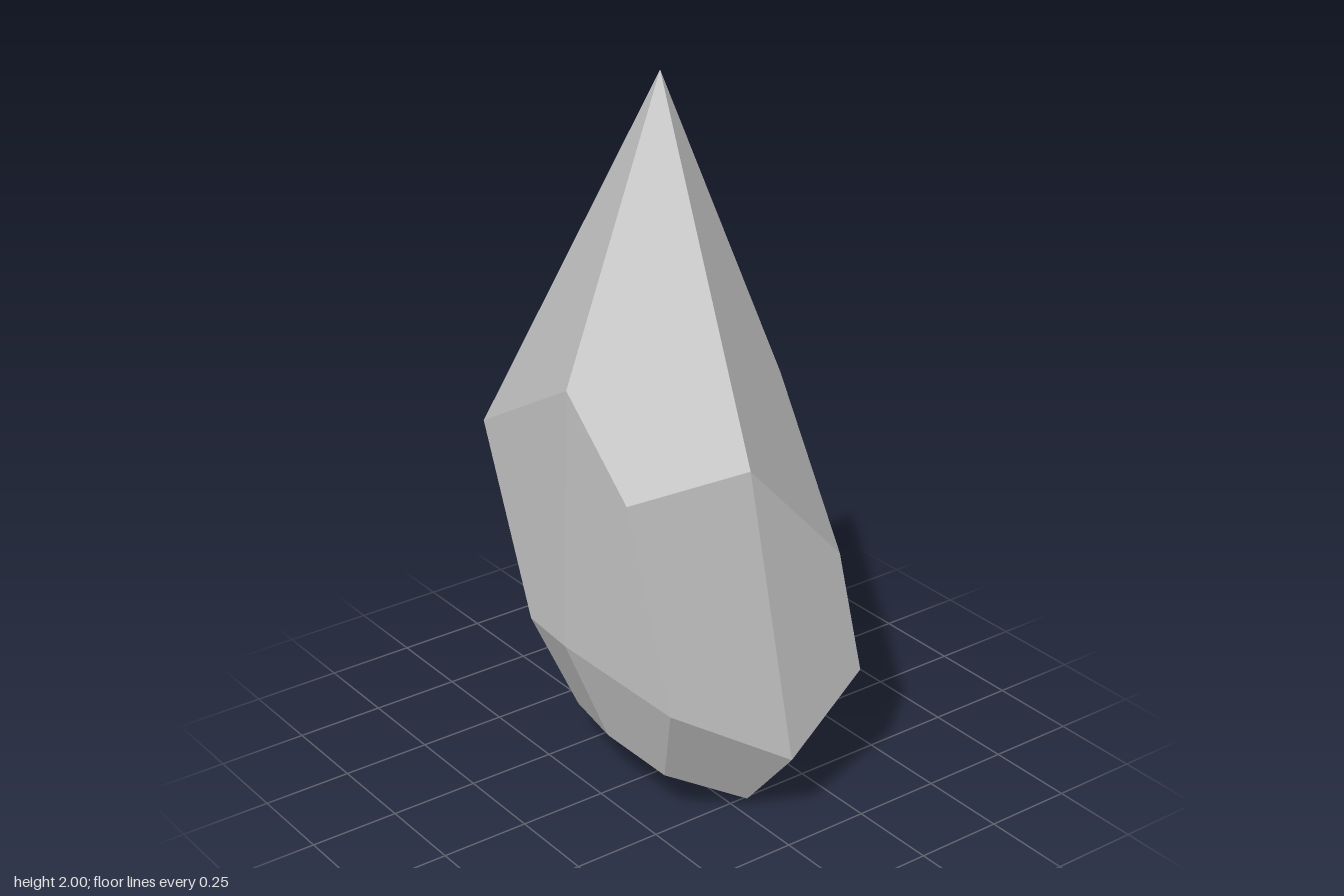
import * as THREE from 'three';

// Cross-sections of eight corners, from the front centre round by +x to the back and on by -x.
const shoulder = [
  [0, 1.22, 0.34], [0.318, 1.035, 0.385], [0.4, 1.07, 0.065], [0.43, 0.77, -0.208],
  [0, 1.09, -0.352], [-0.43, 0.77, -0.208], [-0.4, 1.07, 0.065], [-0.318, 1.035, 0.385],
];
const waist = [
  [-0.02, 0.48, 0.345], [0.315, 0.39, 0.25], [0.445, 0.215, -0.05], [0.38, 0.36, -0.335],
  [0, 0.59, -0.385], [-0.378, 0.36, -0.335], [-0.448, 0.215, -0.05], [-0.323, 0.4, 0.25],
];
const base = [
  [-0.03, 0.152, 0.203], [0.215, 0.145, 0.195], [0.285, 0.022, -0.03], [0.26, 0.175, -0.27],
  [0, 0.25, -0.335], [-0.262, 0.175, -0.27], [-0.3, 0.027, -0.035], [-0.247, 0.13, 0.15],
];
const tip = [0, 2, 0.045];
const foot = [-0.01, 0, -0.05];

// Builds the crystal from four-sided facets, each shaded evenly.
function facetedGeometry(rings) {
  const positions = [];
  const normals = [];
  // Corners run anticlockwise seen from outside; the facet folds along a-c.
  const facet = (a, b, c, d) => {
    const [pa, pb, pc, pd] = [a, b, c, d].map((p) => new THREE.Vector3(...p));
    const normal = pc.sub(pa).cross(pd.sub(pb)).normalize();
    for (const p of [a, b, c, a, c, d]) {
      positions.push(...p);
      normals.push(...normal.toArray());
    }
  };
  const first = rings[0];
  const last = rings[rings.length - 1];
  // Sides
  for (let r = 0; r < rings.length - 1; r++) {
    for (let i = 0; i < 8; i++) {
      const j = (i + 1) % 8;
      facet(rings[r][j], rings[r + 1][j], rings[r + 1][i], rings[r][i]);
    }
  }
  // Four facets up to the tip, folded alternately, and four down to the foot
  for (let i = 0; i < 8; i += 2) {
    const k = (i + 2) % 8;
    if (i % 4 === 0) facet(last[i], last[i + 1], last[k], tip);
    else facet(last[i + 1], last[k], tip, last[i]);
    facet(foot, first[k], first[i + 1], first[i]);
  }
  const geometry = new THREE.BufferGeometry();
  geometry.setAttribute('position', new THREE.Float32BufferAttribute(positions, 3));
  geometry.setAttribute('normal', new THREE.Float32BufferAttribute(normals, 3));
  return geometry;
}

export function createModel() {
  const group = new THREE.Group();
  group.name = 'crystal';
  // Pointed crystal body
  const body = new THREE.Mesh(
    facetedGeometry([base, waist, shoulder]),
    new THREE.MeshStandardMaterial({ color: 0xcccccc }),
  );
  body.name = 'crystalBody';
  group.add(body);
  return group;
}
